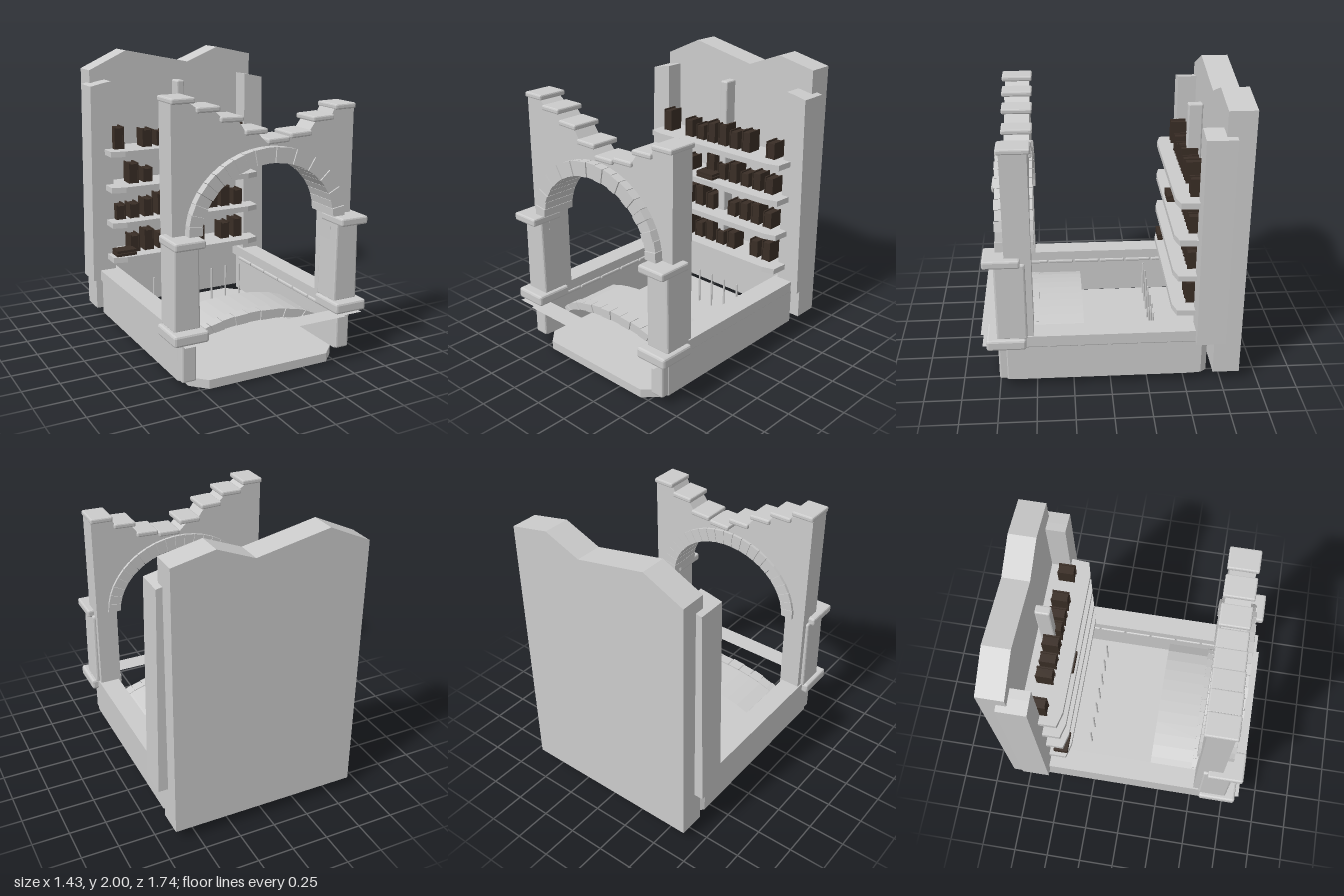
import * as THREE from 'three';
import { RoundedBoxGeometry } from 'three/addons/geometries/RoundedBoxGeometry.js';

const stone = new THREE.MeshStandardMaterial({ color: 0xcccccc, flatShading: true });
const sheet = new THREE.MeshStandardMaterial({ color: 0xcccccc, flatShading: true, side: THREE.DoubleSide });
const leather = new THREE.MeshStandardMaterial({ color: 0x3a2e26, flatShading: true });

function add(parent, name, geometry, material = stone) {
  const mesh = new THREE.Mesh(geometry, material);
  mesh.name = name;
  parent.add(mesh);
  return mesh;
}

// Box given by its limits on each axis
function box(parent, name, x0, x1, y0, y1, z0, z1, bevel = 0, material = stone) {
  const w = x1 - x0, h = y1 - y0, d = z1 - z0;
  const geo = bevel ? new RoundedBoxGeometry(w, h, d, 1, bevel) : new THREE.BoxGeometry(w, h, d);
  geo.translate((x0 + x1) / 2, (y0 + y1) / 2, (z0 + z1) / 2);
  return add(parent, name, geo, material);
}

const shapeOf = (points) => new THREE.Shape(points.map(([x, y]) => new THREE.Vector2(x, y)));

// Front-view outline pushed from z0 to z1
function slab(parent, name, points, z0, z1) {
  const geo = new THREE.ExtrudeGeometry(shapeOf(points), { depth: z1 - z0, bevelEnabled: false });
  geo.translate(0, 0, z0);
  return add(parent, name, geo);
}

// Plan outline [x, z] raised from y0 to y1
function plate(parent, name, points, y0, y1) {
  const geo = new THREE.ExtrudeGeometry(shapeOf(points.map(([x, z]) => [x, -z])), { depth: y1 - y0, bevelEnabled: false });
  geo.rotateX(-Math.PI / 2).translate(0, y0, 0);
  return add(parent, name, geo);
}

// Ring of wedge stones between two ellipses centred on x = 0
function archRing(parent, name, base, inner, outer, z0, z1, count, a0 = 0) {
  const group = new THREE.Group();
  group.name = name;
  const at = ([rx, ry], a) => [rx * Math.cos(a), base + ry * Math.sin(a)];
  const step = (Math.PI - 2 * a0) / count;
  for (let i = 0; i < count; i++) {
    const a = a0 + i * step + 0.003, b = a0 + (i + 1) * step - 0.003;
    const jut = (i % 2) * 0.006;
    slab(group, 'archStone', [at(inner, a), at(outer, a), at(outer, b), at(inner, b)], z0, z1 - jut);
  }
  parent.add(group);
}

function book(parent, x, y, height) {
  const group = new THREE.Group();
  group.name = 'book';
  box(group, 'pages', -0.028, 0.028, 0, height - 0.01, -0.62, -0.515, 0, leather);
  for (const s of [-1, 1]) {
    box(group, 'cover', s * 0.031 - 0.005, s * 0.031 + 0.005, 0, height, -0.622, -0.51, 0, leather);
  }
  group.position.set(x, y, 0);
  parent.add(group);
}

export function createModel() {
  const model = new THREE.Group();
  model.name = 'ruinedLibrary';

  // Floor plate with cut corners
  plate(model, 'floorPlate', [[-0.54, 0.66], [-0.44, 0.76], [0.44, 0.76], [0.54, 0.66],
    [0.54, -0.58], [0.44, -0.68], [-0.44, -0.68], [-0.54, -0.58]], 0, 0.06);

  // Back wall with broken top
  slab(model, 'backWall', [[-0.65, 0.08], [0.65, 0.08], [0.65, 1.94], [0.37, 2],
    [0.12, 1.9], [-0.37, 2], [-0.65, 1.87]], -0.87, -0.69);

  // Mirrored sides
  for (const s of [-1, 1]) {
    const side = new THREE.Group();
    side.name = s > 0 ? 'leftSide' : 'rightSide';
    model.add(side);
    const span = (name, a, b, ...rest) => box(side, name, Math.min(s * a, s * b), Math.max(s * a, s * b), ...rest);

    // Foundation wall with softened ends
    const plan = [[0.525, 0.73], [0.60, 0.73], [0.63, 0.69], [0.63, -0.61], [0.60, -0.65], [0.525, -0.65]]
      .map(([x, z]) => [s * x, z]);
    plate(side, 'foundationWall', s > 0 ? plan : plan.reverse(), 0.07, 0.34);
    span('coping', 0.515, 0.66, 0.345, 0.42, -0.74, 0.6);
    for (let i = 0; i < 6; i++) {
      const z = -0.58 + i * 0.2;
      span('edgeStone', 0.505, 0.645, 0.325, 0.35, z, z + 0.19, 0.008);
    }

    // Lower pier, pillar and its caps
    span('pier', 0.525, 0.625, 0.07, 0.36, 0.62, 0.75, 0.012);
    span('pierCap', 0.47, 0.705, 0.345, 0.42, 0.56, 0.82, 0.015);
    const pillar = span('pillar', 0.5, 0.67, 0.41, 0.96, 0.55, 0.75, 0.012);
    const p = pillar.geometry.attributes.position;
    for (let i = 0; i < p.count; i++) {
      const t = (p.getY(i) - 0.41) / 0.55;
      p.setX(i, s * 0.585 + (p.getX(i) - s * 0.585) * (1.06 - 0.08 * t));
    }
    span('pillarCap', 0.49, 0.695, 0.945, 1.0, 0.58, 0.82, 0.012);

    // Back buttress, leaning slightly
    const lean = [[0.54, 0.345], [0.715, 0.345], [0.69, 1.77], [0.6, 1.79], [0.54, 1.8]].map(([x, y]) => [s * x, y]);
    slab(side, 'buttress', s > 0 ? lean : lean.reverse(), -0.755, -0.56);
  }

  // Front wall with arched opening and stepped top
  const outline = [[0.5, 0.4], [0.65, 0.4], [0.65, 1.7], [0.5, 1.7], [0.47, 1.64], [0.36, 1.63], [0.3, 1.55],
    [0.16, 1.54], [0, 1.52], [-0.06, 1.58], [-0.15, 1.6], [-0.2, 1.67], [-0.3, 1.68], [-0.36, 1.74],
    [-0.46, 1.75], [-0.53, 1.8], [-0.65, 1.8], [-0.65, 0.4], [-0.5, 0.4], [-0.5, 1.0]];
  for (let i = 0; i <= 24; i++) {
    const a = Math.PI * (1 - i / 24);
    outline.push([0.49 * Math.cos(a), 1 + 0.43 * Math.sin(a)]);
  }
  outline.push([0.5, 1.0]);
  slab(model, 'frontWall', outline, 0.51, 0.68);
  archRing(model, 'frontArch', 1.0, [0.475, 0.4], [0.565, 0.5], 0.49, 0.74, 23);

  // Cap stones stepping down to the broken middle
  const caps = [[-0.575, 1.815, 0], [-0.41, 1.755, 0], [-0.25, 1.685, -0.03], [-0.08, 1.597, 0],
    [0.08, 1.53, 0.03], [0.245, 1.555, 0.04], [0.41, 1.645, 0.04], [0.575, 1.71, 0.02]];
  for (const [x, y, tilt] of caps) {
    const cap = box(model, 'capStone', -0.079, 0.079, -0.018, 0.018, -0.105, 0.105, 0.01);
    cap.position.set(x, y, 0.595);
    cap.rotation.z = tilt;
  }

  // Low arch and the thin vault behind it
  archRing(model, 'lowArch', 0.17, [0.5, 0.13], [0.55, 0.195], 0.48, 0.56, 15, 0.2);
  const vault = new THREE.PlaneGeometry(1.04, 0.36, 12, 1).rotateX(-Math.PI / 2).translate(0, 0, 0.35);
  const v = vault.attributes.position;
  for (let i = 0; i < v.count; i++) v.setY(i, 0.2 + 0.155 * Math.sqrt(Math.max(0, 1 - (v.getX(i) / 0.525) ** 2)));
  vault.computeVertexNormals();
  add(model, 'vault', vault, sheet);

  // Thin ledge in front of the piers
  const ledge = new THREE.ShapeGeometry(shapeOf([[-0.65, -0.85], [-0.51, -0.85], [-0.51, -0.87], [0.51, -0.87],
    [0.51, -0.85], [0.65, -0.85], [0.65, -0.73], [-0.65, -0.73]]));
  add(model, 'frontLedge', ledge.rotateX(-Math.PI / 2).translate(0, 0.35, 0), sheet);

  // Row of thin bars
  for (let i = 0; i < 7; i++) {
    const bar = add(model, 'bar', new THREE.CylinderGeometry(0.007, 0.007, 0.26, 6));
    bar.position.set(-0.345 + i * 0.118, 0.26, 0.0 - 0.31);
  }

  // Bookcase post and shelves
  box(model, 'bookcasePost', -0.03, 0.03, 0.45, 1.78, -0.65, -0.55, 0.01);
  box(model, 'bookcaseBack', -0.6, 0.6, 0.42, 0.5, -0.7, -0.66);
  const shelfPlan = [[-0.6, -0.44], [-0.5, -0.415], [0.5, -0.415], [0.59, -0.44],
    [0.6, -0.58], [0.54, -0.69], [-0.54, -0.69], [-0.6, -0.58]];
  const shelfTops = [0.54, 0.8, 1.06, 1.32];
  for (const y of shelfTops) plate(model, 'shelf', shelfPlan, y - 0.04, y);

  // Standing books: one height per slot, 0 leaves a gap
  const slots = [-0.505, -0.4, -0.29, -0.18, -0.075, 0.03, 0.135, 0.245, 0.35, 0.46];
  const rows = [
    [0, 0.13, 0.16, 0.12, 0.16, 0.105, 0.13, 0, 0.13, 0.15],
    [0.11, 0.11, 0.135, 0.16, 0.12, 0, 0.11, 0.135, 0.16, 0.12],
    [0, 0.15, 0.105, 0, 0.17, 0.12, 0.15, 0.105, 0.13, 0.12],
    [0.16, 0, 0.13, 0.11, 0.15, 0.16, 0.13, 0.15, 0, 0.12],
  ];
  rows.forEach((row, r) => row.forEach((h, i) => { if (h) book(model, slots[i], shelfTops[r], h); }));

  // Lying books
  for (const [x, y] of [[-0.5, 0.54], [-0.065, 1.06]]) {
    for (let i = 0; i < 2; i++) {
      box(model, 'lyingBook', x - 0.075, x + 0.075, y + 0.005 + i * 0.024, y + 0.024 + i * 0.024, -0.53, -0.43, 0, leather);
    }
  }
  return model;
}
